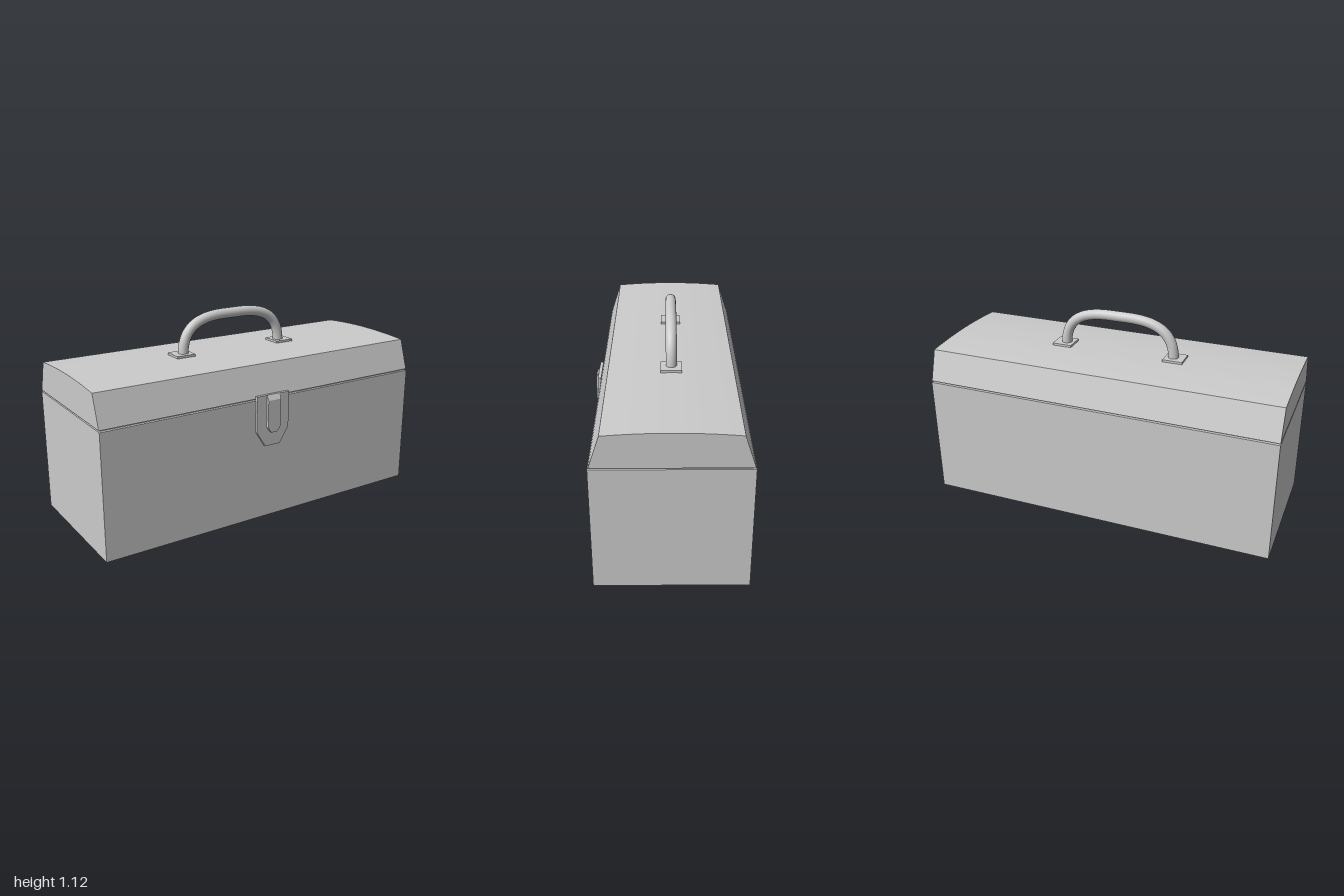
import * as THREE from 'three';

const material = new THREE.MeshStandardMaterial({ color: 0xcccccc });

function outline(points) {
  return new THREE.Shape(points.map(([a, b]) => new THREE.Vector2(a, b)));
}

// Extrudes a (z, y) profile along x, centred on x = 0
function alongX(shape, width) {
  const geo = new THREE.ExtrudeGeometry(shape, { depth: width, bevelEnabled: false, curveSegments: 10 });
  geo.rotateY(-Math.PI / 2);
  return geo.translate(width / 2, 0, 0);
}

// Extrudes an (x, y) outline from z0 to z1
function alongZ(points, z0, z1) {
  const geo = new THREE.ExtrudeGeometry(outline(points), { depth: z1 - z0, bevelEnabled: false });
  return geo.translate(0, 0, z0);
}

// Box given by its minimum and maximum corners
function box(x0, x1, y0, y1, z0, z1) {
  return new THREE.BoxGeometry(x1 - x0, y1 - y0, z1 - z0)
    .translate((x0 + x1) / 2, (y0 + y1) / 2, (z0 + z1) / 2);
}

// Plate with its lower corners cut off
function taperedPlate(half, halfBottom, top, shoulder, bottom) {
  return [[-half, top], [-half, shoulder], [-halfBottom, bottom],
    [halfBottom, bottom], [half, shoulder], [half, top]];
}

export function createModel() {
  const group = new THREE.Group();
  const add = (name, geometry) => {
    const mesh = new THREE.Mesh(geometry, material);
    mesh.name = name;
    group.add(mesh);
  };

  // Body, and the recessed seam under the lid
  add('body', box(-1, 1, 0, 0.691, -0.407, 0.379));
  add('seam', box(-0.99, 0.99, 0.685, 0.705, -0.39, 0.362));

  // Lid with sloping front and back and a slightly crowned top
  const lid = new THREE.Shape();
  lid.moveTo(-0.403, 0.699);
  lid.lineTo(0.374, 0.699);
  lid.lineTo(0.318, 0.871);
  lid.quadraticCurveTo(-0.015, 0.901, -0.347, 0.871);
  lid.closePath();
  add('lid', alongX(lid, 2));

  // Latch: back plate, raised hasp and its sloped top
  add('latchPlate', alongZ(taperedPlate(0.104, 0.048, 0.715, 0.513, 0.425), 0.376, 0.393));
  add('latchHasp', alongZ(taperedPlate(0.041, 0.02, 0.687, 0.534, 0.504), 0.39, 0.409));
  add('latchHaspTop', alongX(outline([[0.39, 0.687], [0.409, 0.687], [0.393, 0.716], [0.39, 0.716]]), 0.082));

  // Bent tube handle
  const z = -0.016;
  const p = (x, y) => new THREE.Vector3(x, y, z);
  const path = new THREE.CurvePath();
  path.add(new THREE.CubicBezierCurve3(p(-0.32, 0.885), p(-0.32, 1.04), p(-0.22, 1.09), p(-0.05, 1.09)));
  path.add(new THREE.LineCurve3(p(-0.05, 1.09), p(0.05, 1.09)));
  path.add(new THREE.CubicBezierCurve3(p(0.05, 1.09), p(0.22, 1.09), p(0.32, 1.04), p(0.32, 0.885)));
  add('handle', new THREE.TubeGeometry(path, 64, 0.029, 24, false));

  // Square mounting plates under the handle ends
  for (const [side, s] of [['left', 1], ['right', -1]]) {
    const x = s * 0.329;
    add(side + 'HandlePlate', box(x - 0.056, x + 0.056, 0.875, 0.898, z - 0.056, z + 0.056));
  }
  return group;
}
